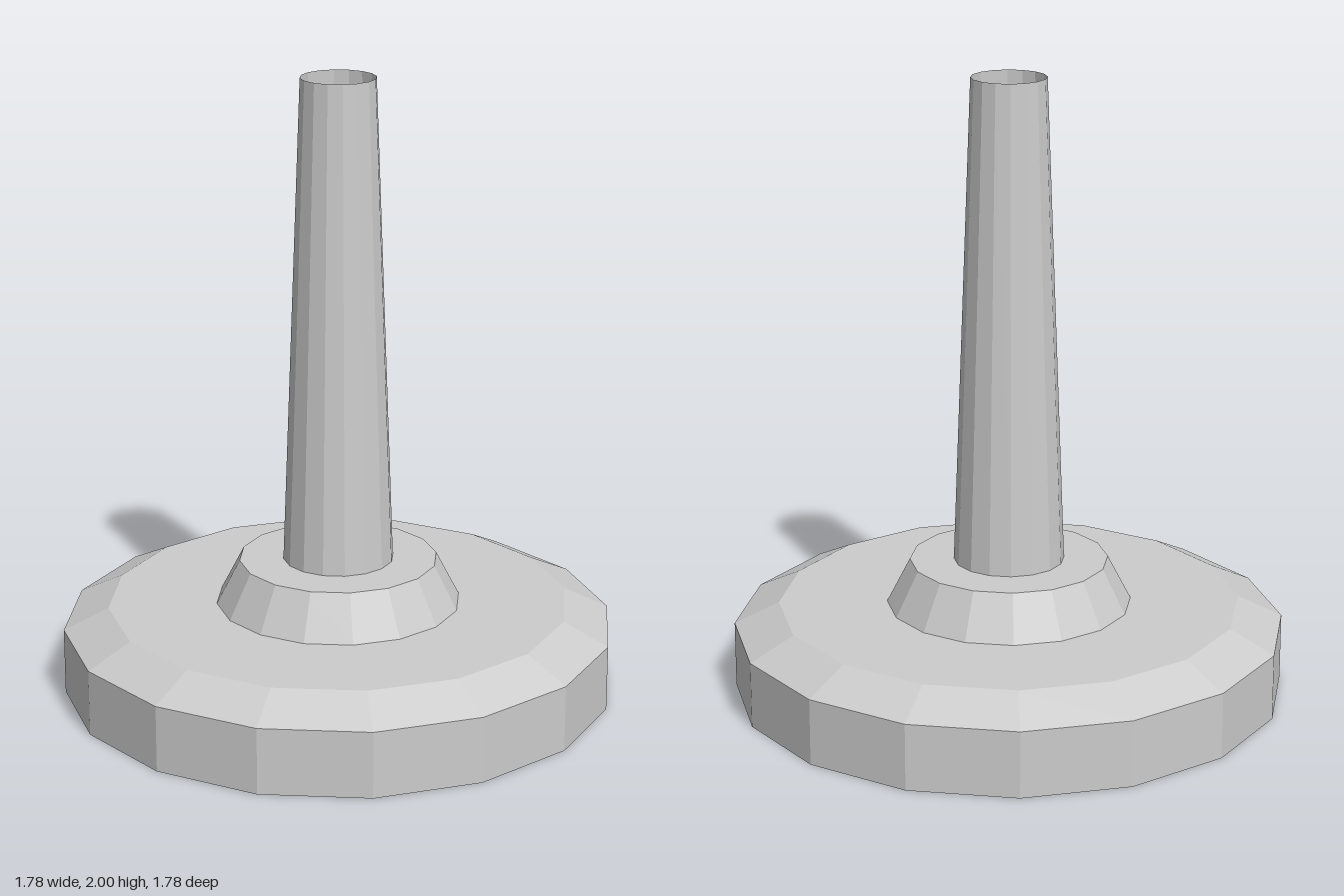
import * as THREE from 'three';

const SIDES = 16;

const grey = new THREE.MeshStandardMaterial({
  name: 'lightGrey', color: 0xcccccc, flatShading: true, side: THREE.DoubleSide,
});

// Thin faceted shell turned round the y axis from [radius, height] points
function shell(name, profile) {
  const points = profile.map(([r, y]) => new THREE.Vector2(r, y));
  const geometry = new THREE.LatheGeometry(points, SIDES).toNonIndexed();
  geometry.computeVertexNormals();
  const mesh = new THREE.Mesh(geometry, grey);
  mesh.name = name;
  return mesh;
}

export function createModel() {
  const model = new THREE.Group();
  model.name = 'pedestalStand';
  model.add(
    // Wide hollow foot, open underneath, with a bevelled rim
    shell('base', [[0.89, 0], [0.89, 0.215], [0.745, 0.285], [0.395, 0.285]]),
    // Sloped step with a flat ledge
    shell('collar', [[0.395, 0.285], [0.32, 0.43], [0.178, 0.43]]),
    // Tapered tube, open at both ends
    shell('stem', [[0.178, 0.43], [0.119, 2]]),
  );
  return model;
}
